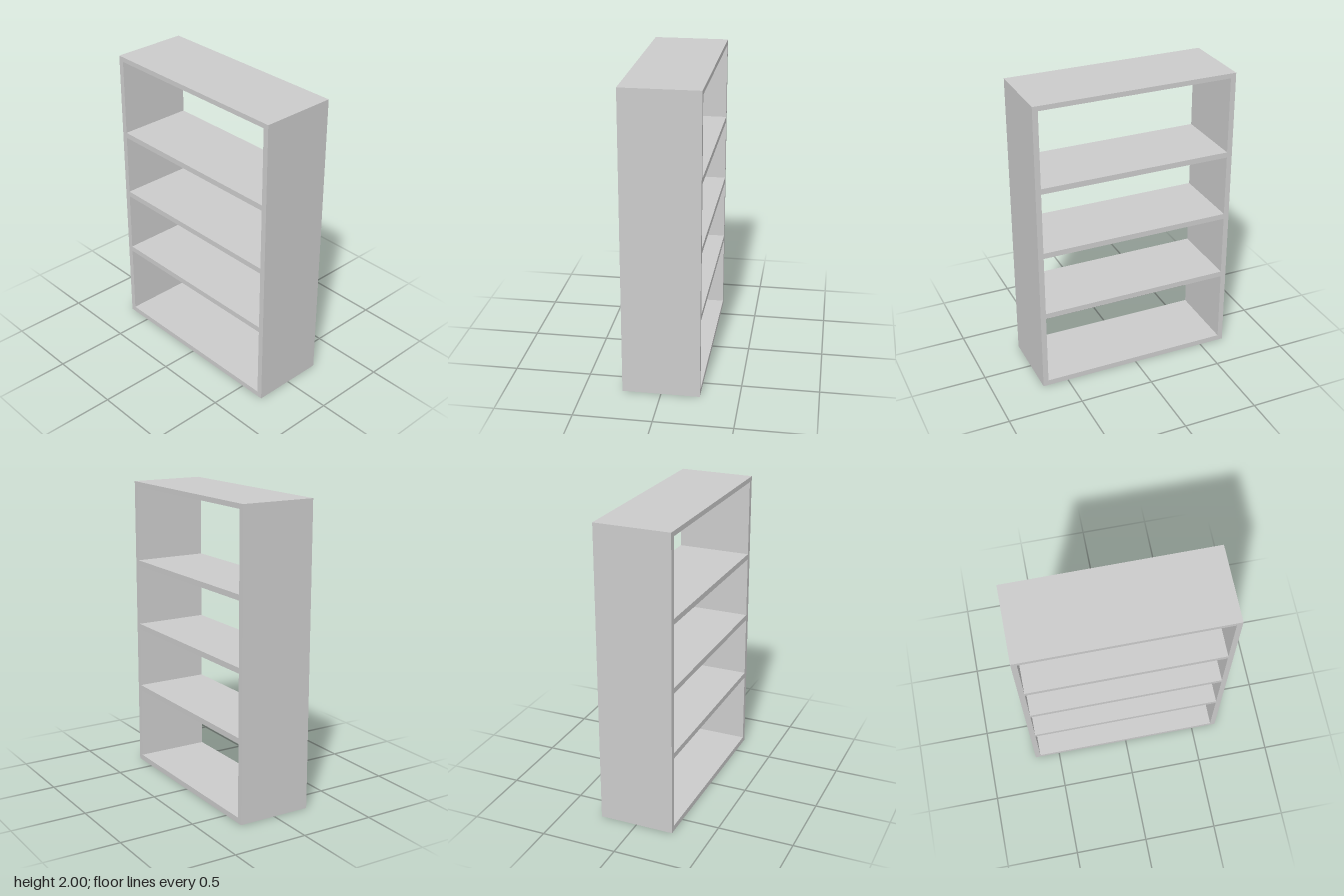
import * as THREE from 'three';

const DEPTH = 0.5;        // along x
const HALF_WIDTH = 0.674; // along z
const HEIGHT = 2;
const SIDE = 0.036;       // side panel thickness
const BOARD = 0.037;      // shelf thickness

export function createModel() {
  const group = new THREE.Group();
  const material = new THREE.MeshStandardMaterial({ color: 0xcccccc });

  // Adds a horizontal or vertical board spanning the full depth
  function board(name, height, width, y, z) {
    const mesh = new THREE.Mesh(new THREE.BoxGeometry(DEPTH, height, width), material);
    mesh.name = name;
    mesh.position.set(0, y, z);
    group.add(mesh);
  }

  // Outer side panels
  for (const [name, s] of [['frontSidePanel', 1], ['backSidePanel', -1]]) {
    board(name, HEIGHT, SIDE, HEIGHT / 2, s * (HALF_WIDTH - SIDE / 2));
  }

  // Top, bottom and the three shelves fit between the side panels
  const inner = 2 * (HALF_WIDTH - SIDE);
  board('topPanel', 0.032, inner, HEIGHT - 0.016, 0);
  board('bottomPanel', BOARD, inner, BOARD / 2, 0);
  [0.545, 0.993, 1.443].forEach((y, i) => board(`shelf${i + 1}`, BOARD, inner, y, 0));

  return group;
}
